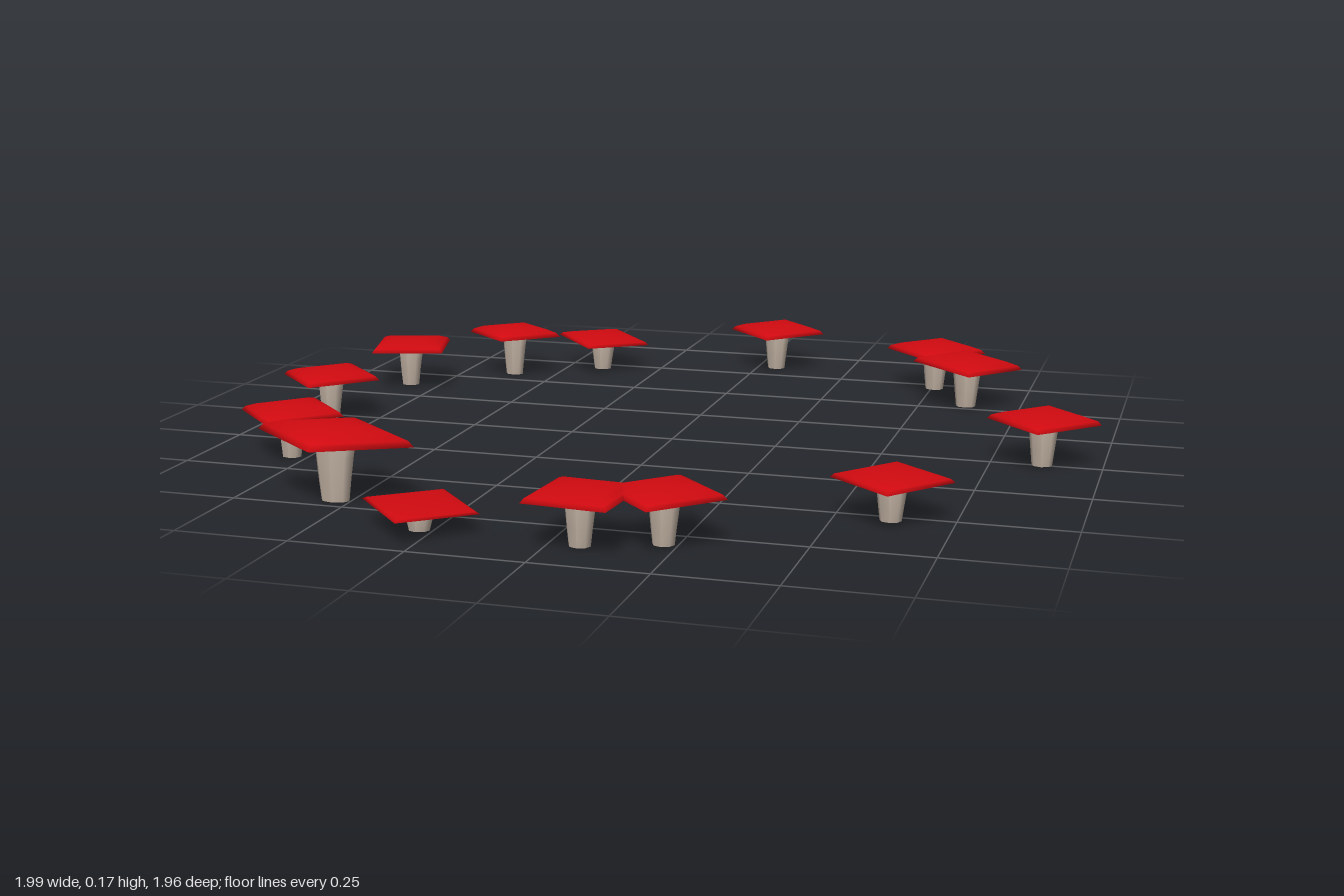
import * as THREE from 'three';

const capMat = new THREE.MeshStandardMaterial({ color: 0xd00a10, side: THREE.DoubleSide });
const stemMat = new THREE.MeshStandardMaterial({ color: 0xb9aa9c });

// Flattened, hollow four-sided dome
function capGeometry() {
  const g = new THREE.SphereGeometry(0.128, 4, 4, 0, Math.PI * 2, 0, Math.PI / 2);
  g.scale(1, 0.19, 1);
  return g;
}

// Tapered stem, narrow at the foot, with a gentle bend towards +z
function stemGeometry() {
  const g = new THREE.CylinderGeometry(0.035, 0.023, 0.105, 8, 3);
  g.translate(0, 0.0525, 0);
  const p = g.attributes.position;
  for (let i = 0; i < p.count; i++) {
    const t = p.getY(i) / 0.105;
    p.setZ(i, p.getZ(i) * 0.85 + 0.01 * (1 - t * t));
  }
  g.computeVertexNormals();
  return g;
}

// x, z, width scale, height scale, depth scale, turn, cap tilt
const spots = [
  [0.05, -0.855, 1, 1, 1, 0, 0],
  [0.507, -0.72, 1, 1, 1, 0, 0],
  [0.615, -0.545, 1.06, 1.04, 1.06, -0.2 + Math.PI / 2 - 1.2, -0.06],
  [0.865, -0.013, 1, 1, 1, 0, 0],
  [0.618, 0.515, 1, 0.85, 1, 0.1, 0],
  [0.22, 0.803, 1, 1, 1, 0, 0],
  [0.065, 0.858, 1, 1, 1, 0.7, 0],
  [-0.28, 0.845, 1, 0.47, 1, 0, -0.05],
  [-0.535, 0.695, 1.4, 1.36, 1, 0, -0.045],
  [-0.79, 0.385, 1, 1, 1, 0, 0],
  [-0.87, 0.012, 1, 1, 1, 0, 0],
  [-0.83, -0.388, 1, 1, 1, -0.52, 0],
  [-0.612, -0.583, 1, 1.08, 0.81, 0, 0],
  [-0.405, -0.718, 1, 0.78, 1, 0, -0.06],
];

export function createModel() {
  const model = new THREE.Group();
  model.name = 'mushroomRing';
  const capGeo = capGeometry();
  const stemGeo = stemGeometry();
  spots.forEach(([x, z, sx, sy, sz, turn, tilt], i) => {
    const mushroom = new THREE.Group();
    mushroom.name = `mushroom${i + 1}`;
    mushroom.position.set(x, 0, z);

    const stem = new THREE.Mesh(stemGeo, stemMat);
    stem.name = 'stem';
    stem.scale.set(sx, sy, sz);

    const cap = new THREE.Mesh(capGeo, capMat);
    cap.name = 'cap';
    cap.position.y = 0.098 * sy;
    cap.scale.set(sx, sy, sz);
    cap.rotation.set(0, turn, tilt, 'ZYX');

    mushroom.add(stem, cap);
    model.add(mushroom);
  });
  return model;
}
